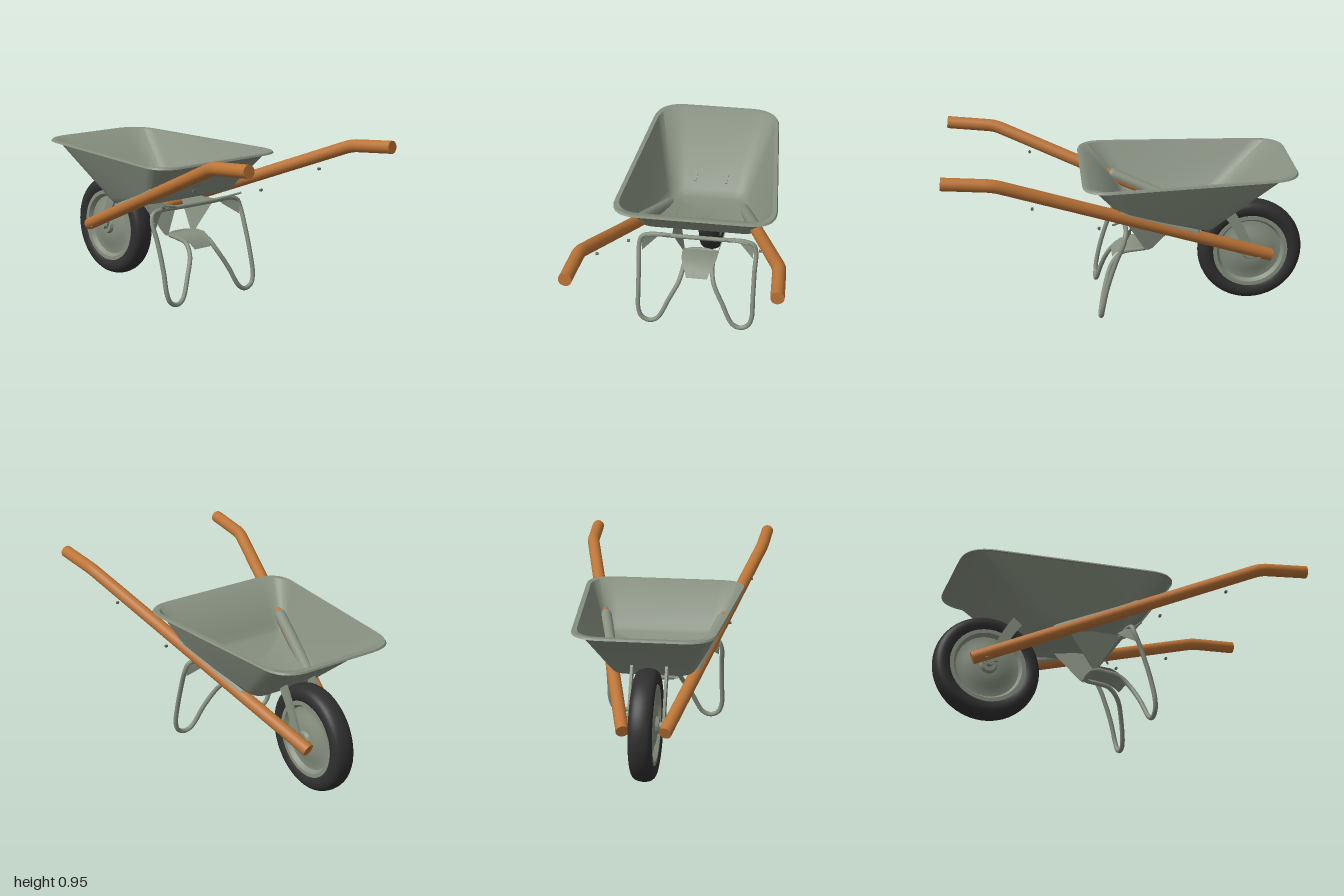
import * as THREE from 'three';
import { toCreasedNormals } from 'three/addons/utils/BufferGeometryUtils.js';

const V = (x, y, z) => new THREE.Vector3(x, y, z);
const mat = (name, color, side = THREE.DoubleSide) => {
  const m = new THREE.MeshStandardMaterial({ color, side });
  m.name = name;
  return m;
};

export function createModel() {
  const group = new THREE.Group();
  const steel = mat('grey green steel', 0x879080);
  const wood = mat('orange wood', 0xbb7436);
  const rubber = mat('black rubber', 0x2f2f30);
  const dark = mat('dark bolts', 0x60675e);

  const add = (name, geo, material, parent = group) => {
    const mesh = new THREE.Mesh(geo, material);
    mesh.name = name;
    parent.add(mesh);
    return mesh;
  };

  // Joins equal-length rows of points into a surface
  const loft = (rows, closed, crease = 0.8) => {
    const n = rows[0].length, idx = [];
    const cols = closed ? n : n - 1;
    for (let r = 0; r < rows.length - 1; r++) {
      for (let i = 0; i < cols; i++) {
        const a = r * n + i, b = r * n + (i + 1) % n;
        idx.push(a, b, a + n, b, b + n, a + n);
      }
    }
    const geo = new THREE.BufferGeometry().setFromPoints(rows.flat());
    geo.setIndex(idx);
    return toCreasedNormals(geo, crease);
  };

  // Flat plate as a fan of triangles
  const plate = (pts) => {
    const geo = new THREE.BufferGeometry().setFromPoints(pts);
    const idx = [];
    for (let i = 1; i < pts.length - 1; i++) idx.push(0, i, i + 1);
    geo.setIndex(idx);
    geo.computeVertexNormals();
    return geo;
  };

  // Tray: rounded four-sided rings from the rim down to the floor
  const ring = (x0, w0, x1, w1, r, yAt) => {
    const c = [[x0, -w0], [x1, -w1], [x1, w1], [x0, w0]].map(([x, z]) => new THREE.Vector2(x, z));
    const pts = [];
    c.forEach((p, i) => {
      const from = p.clone().add(c[(i + 3) % 4].clone().sub(p).setLength(r));
      const to = p.clone().add(c[(i + 1) % 4].clone().sub(p).setLength(r));
      const curve = new THREE.QuadraticBezierCurve(from, p, to);
      for (const q of curve.getPoints(9)) pts.push(V(q.x, yAt(q.x), q.y));
    });
    return pts;
  };
  const rimY = (x) => 0.836 - (x + 0.92) * 0.017;
  const floorY = (x) => 0.485 + (x + 0.47) * 0.19;
  const lowest = ring(-0.45, 0.19, 0, 0.3, 0.05, floorY);
  add('tray', loft([
    ring(-0.925, 0.36, 0.255, 0.46, 0.16, (x) => rimY(x) - 0.01),
    ring(-0.92, 0.355, 0.25, 0.455, 0.16, rimY),
    ring(-0.885, 0.335, 0.22, 0.43, 0.14, (x) => rimY(x) - 0.002),
    ring(-0.505, 0.225, 0.04, 0.34, 0.08, (x) => floorY(x) + 0.04),
    ring(-0.48, 0.21, 0.02, 0.325, 0.07, (x) => floorY(x) + 0.012),
    lowest,
    lowest.map(() => V(-0.22, floorY(-0.22), 0)),
  ], true), steel);

  // Wheel: tyre, dished rim and axle, turned about z
  const wheel = new THREE.Group();
  wheel.name = 'wheel';
  wheel.position.set(-0.705, 0.3, 0);
  wheel.rotation.x = Math.PI / 2;
  group.add(wheel);
  const tyreHalf = [[0.2, 0.042], [0.222, 0.056], [0.25, 0.062], [0.275, 0.054], [0.29, 0.034]];
  const tyrePts = [
    ...tyreHalf.map(([r, y]) => new THREE.Vector2(r, -y)),
    new THREE.Vector2(0.296, 0),
    ...tyreHalf.map(([r, y]) => new THREE.Vector2(r, y)).reverse(),
  ];
  add('tyre', new THREE.LatheGeometry(new THREE.SplineCurve(tyrePts).getPoints(28), 48), rubber, wheel);
  const rimHalf = [[0, 0.07], [0.04, 0.07], [0.05, 0.052], [0.1, 0.05], [0.13, 0.034],
    [0.175, 0.03], [0.19, 0.054], [0.212, 0.054]];
  const rimPts = [
    ...rimHalf.map(([r, y]) => new THREE.Vector2(r, -y)),
    ...rimHalf.map(([r, y]) => new THREE.Vector2(r, y)).reverse(),
  ];
  add('wheelRim', toCreasedNormals(new THREE.LatheGeometry(rimPts, 40), 0.7), steel, wheel);
  add('axle', new THREE.CylinderGeometry(0.018, 0.018, 0.2, 16), steel, wheel);

  // Leg frame: one closed loop of bent tube
  const half = [
    V(0.02, 0.537, 0.12), V(0.02, 0.537, 0.27), V(0.025, 0.522, 0.315), V(0.035, 0.48, 0.33),
    V(0.075, 0.38, 0.328), V(0.125, 0.22, 0.327), V(0.15, 0.1, 0.325), V(0.156, 0.05, 0.305),
    V(0.158, 0.03, 0.26), V(0.154, 0.05, 0.215), V(0.125, 0.17, 0.152), V(0.085, 0.27, 0.1),
    V(0.03, 0.328, 0.083), V(-0.05, 0.343, 0.08), V(-0.11, 0.35, 0.075),
  ];
  const loop = [...half, ...half.map((p) => V(p.x, p.y, -p.z)).reverse()];
  add('legFrame', new THREE.TubeGeometry(
    new THREE.CatmullRomCurve3(loop, true, 'centripetal'), 220, 0.013, 10, true), steel);

  // Curved saddle plate that ties the two legs together
  const saddle = [[-0.13, 0.35, 0.1], [-0.1, 0.362, 0.105], [-0.02, 0.36, 0.1],
    [0.03, 0.345, 0.085], [0.06, 0.32, 0.07], [0.08, 0.295, 0.06]];
  add('saddlePlate', loft(saddle.map(([x, y, w]) => [V(x, y, -w), V(x, y, w)]), false), steel);

  // Fork strut outline
  const strut = new THREE.Shape();
  strut.moveTo(-0.73, 0.3);
  strut.lineTo(-0.66, 0.31);
  strut.quadraticCurveTo(-0.62, 0.44, -0.53, 0.55);
  strut.lineTo(-0.58, 0.59);
  strut.quadraticCurveTo(-0.66, 0.48, -0.73, 0.3);

  // Paired parts on the left and right of the centre line
  for (const s of [1, -1]) {
    const pair = new THREE.Group();
    pair.name = s > 0 ? 'nearSide' : 'farSide';
    group.add(pair);

    // Handle: straight shaft, short bend, grip
    const a = V(-0.81, 0.3, 0.11 * s), b = V(0.72, 0.9, 0.51 * s), c = V(0.993, 0.923, 0.525 * s);
    const b0 = b.clone().lerp(a, 0.025), b1 = b.clone().lerp(c, 0.14);
    const path = new THREE.CurvePath();
    path.add(new THREE.LineCurve3(a, b0));
    path.add(new THREE.QuadraticBezierCurve3(b0, b, b1));
    path.add(new THREE.LineCurve3(b1, c));
    add('handle', new THREE.TubeGeometry(path, 90, 0.035, 20), wood, pair);
    for (const [p, from] of [[a, b], [c, b]]) {
      const cap = add('handleEnd', new THREE.CircleGeometry(0.035, 20), wood, pair);
      cap.position.copy(p);
      cap.lookAt(p.clone().multiplyScalar(2).sub(from));
    }

    // Raised tray pressing over the handle
    const along = (x) => a.clone().lerp(b, (x + 0.81) / 1.53).add(V(-0.003, 0.011, -0.006 * s));
    const p0 = along(-0.36), p1 = along(0.05);
    const bump = add('trayPressing', new THREE.CapsuleGeometry(0.033, p0.distanceTo(p1), 8, 16), steel, pair);
    bump.position.copy(p0).lerp(p1, 0.5);
    bump.quaternion.setFromUnitVectors(V(0, 1, 0), p1.clone().sub(p0).normalize());

    // Gusset from the tray floor to the saddle
    add('gusset', plate([
      V(-0.12, 0.345, 0.1 * s), V(-0.14, 0.355, 0.1 * s), V(-0.28, 0.523, 0.15 * s),
      V(-0.17, 0.545, 0.15 * s), V(0.02, 0.548, 0.145 * s), V(-0.1, 0.35, 0.1 * s),
    ]), steel, pair);

    // Brackets at the top of the leg
    add('legBracket', plate([V(0.03, 0.53, 0.315 * s), V(-0.02, 0.53, 0.2 * s),
      V(-0.01, 0.5, 0.235 * s), V(0.045, 0.44, 0.315 * s)]), steel, pair);
    add('legStay', new THREE.TubeGeometry(new THREE.LineCurve3(
      V(0.02, 0.54, 0.14 * s), V(0.09, 0.574, 0.285 * s)), 1, 0.006, 8), steel, pair);

    // Fork strut between axle and tray
    const fork = add('forkStrut', new THREE.ExtrudeGeometry(strut,
      { depth: 0.014, bevelEnabled: false, curveSegments: 8 }), steel, pair);
    fork.position.z = s > 0 ? 0.085 : -0.099;

    // Bolts along the handle
    for (const [x, y, z, r] of [[-0.74, 0.31, 0.147, 0.013], [0.17, 0.59, 0.365, 0.008], [0.525, 0.75, 0.463, 0.008]]) {
      const bolt = add('bolt', new THREE.CylinderGeometry(r, r, 0.014, 8), r > 0.01 ? steel : dark, pair);
      bolt.position.set(x, y, z * s);
      bolt.rotation.x = Math.PI / 2;
    }
  }
  return group;
}
